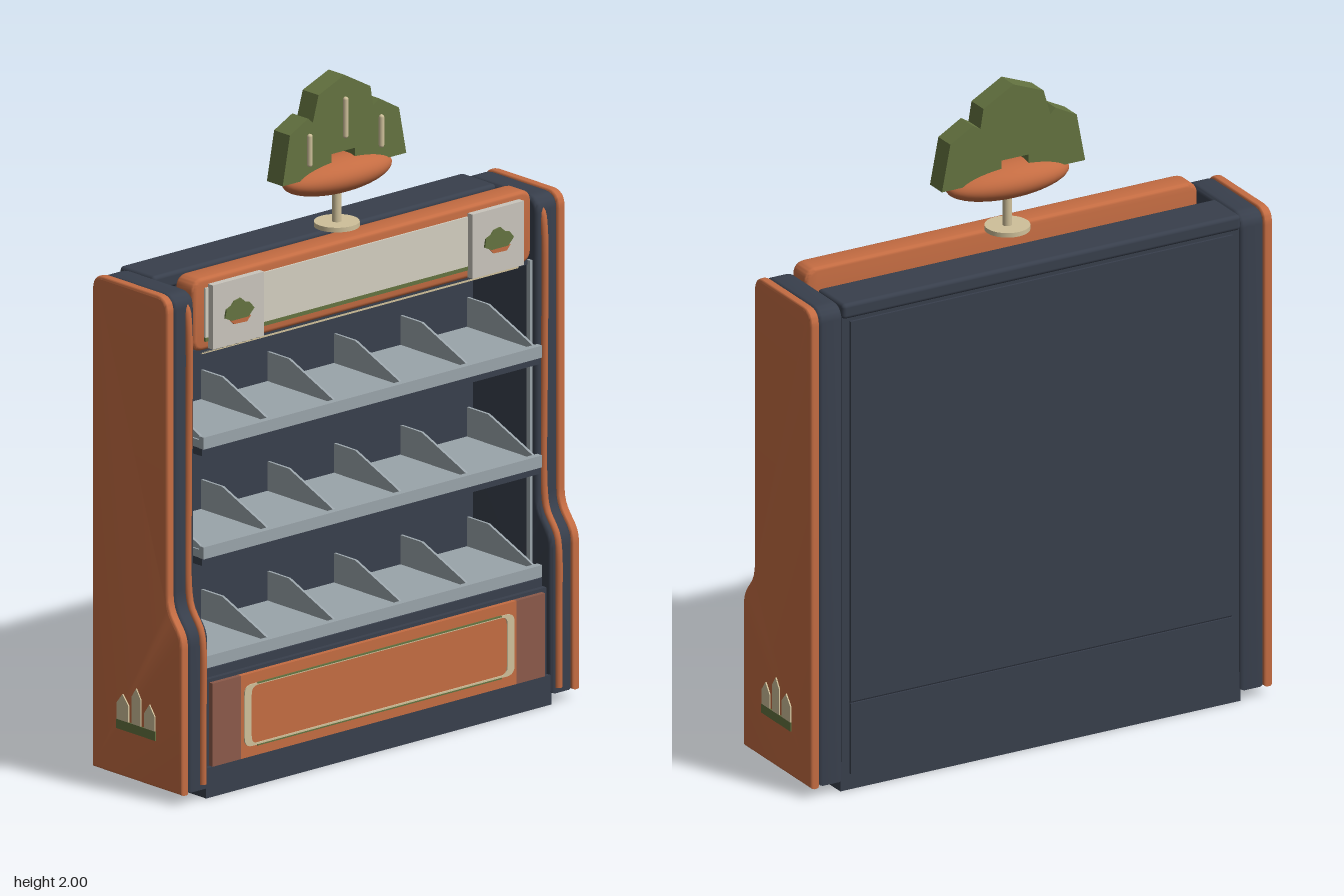
import * as THREE from 'three';
import { toCreasedNormals } from 'three/addons/utils/BufferGeometryUtils.js';
import { RoundedBoxGeometry } from 'three/addons/geometries/RoundedBoxGeometry.js';

const mat = (name, color, side = THREE.FrontSide) => {
  const m = new THREE.MeshStandardMaterial({ color, side });
  m.name = name;
  return m;
};

export function createModel() {
  const orange = mat('terracotta', 0xc46c42);
  const brown = mat('dull brown', 0x8c5a4a);
  const dark = mat('charcoal blue', 0x383f4c);
  const seam = mat('seam dark', 0x262b34);
  const grey = mat('shelf grey', 0x9aa4aa);
  const green = mat('leaf green', 0x647340);
  const cream = mat('cream', 0xd3cec0);
  const plate = mat('pale plate', 0xc9c5bc);
  const tan = mat('tan', 0xcfc09a);

  const model = new THREE.Group();
  model.name = 'displayStand';

  const add = (name, geo, material, x = 0, y = 0, z = 0) => {
    const m = new THREE.Mesh(geo, material);
    m.name = name;
    m.position.set(x, y, z);
    model.add(m);
    return m;
  };
  // Box given by its limits on each axis, optionally rounded
  const box = (name, material, x0, x1, y0, y1, z0, z1, r = 0) => {
    const s = [x1 - x0, y1 - y0, z1 - z0];
    const geo = r ? new RoundedBoxGeometry(...s, 3, r) : new THREE.BoxGeometry(...s);
    return add(name, geo, material, (x0 + x1) / 2, (y0 + y1) / 2, (z0 + z1) / 2);
  };
  const poly = (pts) => new THREE.Shape(pts.map(([x, y]) => new THREE.Vector2(x, y)));
  const roundRect = (x0, x1, y0, y1, r, Type = THREE.Shape) => {
    const s = new Type();
    s.moveTo(x0 + r, y0).lineTo(x1 - r, y0).quadraticCurveTo(x1, y0, x1, y0 + r)
      .lineTo(x1, y1 - r).quadraticCurveTo(x1, y1, x1 - r, y1)
      .lineTo(x0 + r, y1).quadraticCurveTo(x0, y1, x0, y1 - r)
      .lineTo(x0, y0 + r).quadraticCurveTo(x0, y0, x0 + r, y0);
    return s;
  };
  // Extrusion centred on its own thickness
  const extrude = (shape, depth, bevel = 0) => {
    const geo = new THREE.ExtrudeGeometry(shape, {
      depth: depth - 2 * bevel, bevelEnabled: bevel > 0, bevelSize: bevel,
      bevelThickness: bevel, bevelOffset: -bevel, bevelSegments: 3, curveSegments: 10,
    });
    geo.translate(0, 0, bevel - depth / 2);
    return toCreasedNormals(geo, 0.6);
  };
  // Shape drawn in (z, y), thickness along x
  const extrudeX = (shape, width, bevel) => extrude(shape, width, bevel).rotateY(-Math.PI / 2);

  // Side profile with a stepped, curved front
  const sideProfile = (inset) => {
    const b = -0.197 + inset, f = 0.128 - inset, l = 0.19 - inset, t = 1.513 - inset, r = 0.05;
    const s = new THREE.Shape();
    s.moveTo(b, 0.03 + inset).lineTo(l, 0.03 + inset).lineTo(l, 0.47)
      .bezierCurveTo(l, 0.54, f, 0.54, f, 0.62)
      .lineTo(f, t - r).quadraticCurveTo(f, t, f - r, t)
      .lineTo(b + r, t).quadraticCurveTo(b, t, b, t - r).lineTo(b, 0.03 + inset);
    return s;
  };
  const trimPath = new THREE.CatmullRomCurve3([
    [0.05, 0.188], [0.25, 0.188], [0.46, 0.188], [0.51, 0.178], [0.57, 0.138],
    [0.63, 0.126], [1, 0.126], [1.42, 0.126], [1.47, 0.115], [1.5, 0.085],
  ].map(([y, z]) => new THREE.Vector3(0, y, z)));

  for (const s of [1, -1]) {
    const side = s > 0 ? 'left' : 'right';
    add(side + 'SidePanel', extrudeX(sideProfile(0), 0.03, 0.01), orange, s * 0.753);
    add(side + 'SideColumn', extrudeX(sideProfile(0.003), 0.082, 0.014), dark, s * 0.7);
    add(side + 'EdgeTrim', new THREE.TubeGeometry(trimPath, 70, 0.011, 8), orange, s * 0.685);
    box(side + 'ShelfRail', grey, s * 0.654 - 0.005, s * 0.654 + 0.005, 0.36, 1.32, 0.09, 0.105);

    // Picket motif on the outer side
    const x = s * 0.769;
    add(side + 'MotifGround', extrudeX(poly([[-0.087, 0.172], [0.08, 0.172], [0.08, 0.2], [-0.087, 0.2]]), 0.006), green, x);
    for (const [z, w, top] of [[0.055, 0.022, 0.275], [-0.002, 0.02, 0.31], [-0.06, 0.025, 0.28]]) {
      const picket = poly([[z - w, 0.2], [z + w, 0.2], [z + w, top - 0.03], [z, top], [z - w, top - 0.03]]);
      add(side + 'MotifPicket', extrudeX(picket, 0.006), tan, x);
    }
  }

  // Carcass
  box('plinth', dark, -0.665, 0.665, 0, 0.09, -0.187, 0.18);
  box('lowerBody', dark, -0.66, 0.66, 0.08, 0.35, -0.18, 0.165);
  box('shelfSupport', dark, -0.655, 0.655, 0.34, 0.375, -0.15, 0.15);
  box('backWall', dark, -0.66, 0.66, 0.05, 1.49, -0.188, -0.15);
  box('topBeam', dark, -0.662, 0.662, 1.465, 1.512, -0.197, -0.05, 0.012);
  box('backUpperPanel', dark, -0.635, 0.635, 0.275, 1.455, -0.195, -0.185);
  box('backLowerPanel', dark, -0.635, 0.635, 0.05, 0.269, -0.195, -0.185);
  box('backSeam', seam, -0.635, 0.635, 0.268, 0.276, -0.19, -0.187);

  // Front kick panel with its framed border
  box('frontPanel', orange, -0.53, 0.53, 0.09, 0.34, 0.16, 0.18);
  for (const s of [1, -1]) box('frontPanelEnd', brown, s * 0.585 - 0.055, s * 0.585 + 0.055, 0.09, 0.34, 0.16, 0.18);
  const frame = roundRect(-0.52, 0.52, 0.122, 0.308, 0.03);
  frame.holes.push(roundRect(-0.493, 0.493, 0.128, 0.302, 0.025, THREE.Path));
  add('frontPanelFrame', extrude(frame, 0.006), tan, 0, 0, 0.181);
  for (const y of [0.121, 0.307]) box('frontPanelLine', green, -0.47, 0.47, y - 0.002, y + 0.002, 0.179, 0.185);

  // Shelves with lips and sloped dividers
  const dividerShape = poly([[-0.15, 0], [0.13, 0], [0.13, 0.012], [0.1, 0.025], [-0.06, 0.09], [-0.15, 0.09]]);
  const dividerGeo = extrudeX(dividerShape, 0.008);
  for (const y of [0.38, 0.71, 1.04]) {
    box('shelfFloor', grey, -0.65, 0.65, y, y + 0.024, -0.15, 0.14);
    box('shelfLip', grey, -0.652, 0.652, y, y + 0.036, 0.134, 0.155);
    for (let i = 0; i < 6; i++) add('shelfDivider', dividerGeo, grey, -0.64 + i * 0.256, y + 0.022, 0);
    if (y > 0.5) {
      box('shelfUnderside', dark, -0.65, 0.65, y - 0.022, y, -0.15, 0.145);
      box('shelfLightStrip', tan, -0.61, 0.61, y - 0.037, y - 0.031, 0.09, 0.1);
      box('shelfLightHousing', dark, -0.63, 0.63, y - 0.032, y - 0.02, 0.07, 0.11);
    }
  }

  // Header sign
  add('signBoard', extrude(roundRect(-0.652, 0.652, 1.318, 1.537, 0.04), 0.08, 0.012), orange, 0, 0, 0.07);
  box('signFace', cream, -0.61, 0.61, 1.358, 1.507, 0.108, 0.116);
  box('signBaseLine', green, -0.61, 0.61, 1.346, 1.358, 0.108, 0.116);
  box('signLightStrip', tan, -0.61, 0.61, 1.305, 1.311, 0.07, 0.1);
  box('signUnderside', dark, -0.645, 0.645, 1.308, 1.322, 0.035, 0.1);
  const bush = poly([[-0.055, 1.41], [-0.03, 1.398], [0.035, 1.398], [0.057, 1.42], [0.04, 1.44],
    [0.025, 1.443], [0.005, 1.46], [-0.02, 1.455], [-0.03, 1.443], [-0.05, 1.435]]);
  const soil = poly([[-0.035, 1.4], [-0.02, 1.386], [0.03, 1.384], [0.045, 1.4]]);
  for (const s of [1, -1]) {
    box('signPlate', plate, s * 0.5 - 0.099, s * 0.5 + 0.099, 1.325, 1.518, 0.114, 0.135);
    add('plateBush', extrude(bush, 0.006), green, s * 0.5, 0, 0.137);
    add('plateSoil', extrude(soil, 0.006), orange, s * 0.5, 0, 0.136);
  }

  // Topper: stand, oval base, leafy crown with slats
  add('topperFoot', new THREE.CylinderGeometry(0.066, 0.066, 0.014, 32), tan, 0, 1.546, 0);
  add('topperPole', new THREE.CylinderGeometry(0.014, 0.014, 0.13, 20), tan, 0, 1.605, 0);
  add('topperOval', new THREE.SphereGeometry(1, 40, 24), orange, 0, 1.698, 0).scale.set(0.2, 0.055, 0.081);
  const crown = poly([[-0.238, 1.715], [-0.05, 1.715], [-0.05, 1.772], [0.04, 1.772], [0.04, 1.715],
    [0.238, 1.715], [0.21, 1.857], [0.135, 1.9], [0.11, 1.885], [0.1, 1.945], [0, 2.0],
    [-0.1, 1.96], [-0.122, 1.882], [-0.14, 1.898], [-0.21, 1.862]]);
  add('topperCrown', extrude(crown, 0.068), green, 0, 0, -0.001);
  for (const [x, y, h] of [[-0.138, 1.803, 0.1], [0, 1.873, 0.125], [0.138, 1.803, 0.1]]) {
    add('crownSlat', new THREE.CapsuleGeometry(0.008, h - 0.016, 4, 10), tan, x, y, 0.038);
  }

  return model;
}
